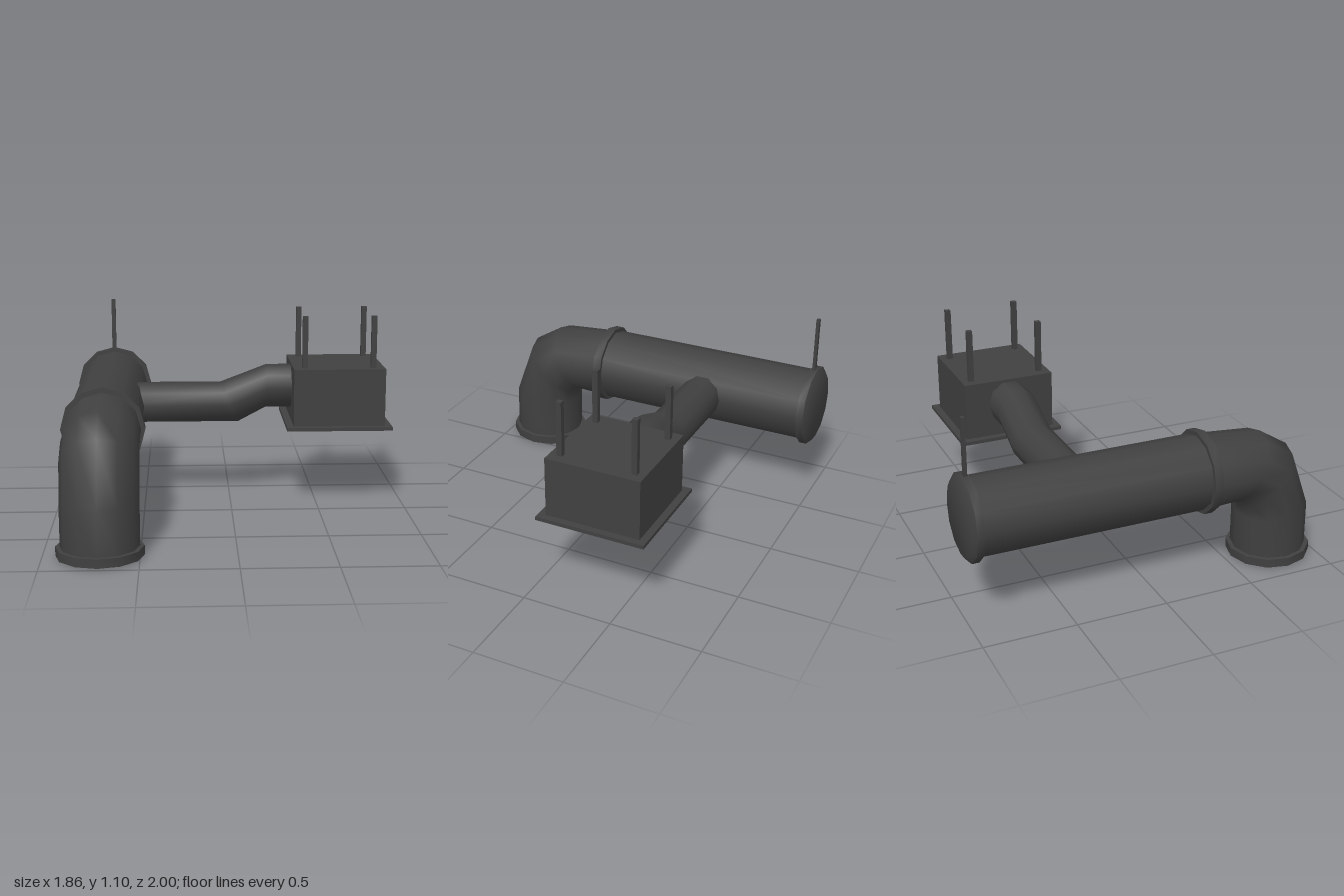
import * as THREE from 'three';
import { toCreasedNormals } from 'three/addons/utils/BufferGeometryUtils.js';

const material = new THREE.MeshStandardMaterial({ color: 0x404040, side: THREE.DoubleSide });
const DUCT_X = -0.705, DUCT_Y = 0.565, R = 0.205, RIM = 0.228;

export function createModel() {
  const model = new THREE.Group();

  const add = (name, geometry, x = 0, y = 0, z = 0, rotX = 0) => {
    const mesh = new THREE.Mesh(geometry, material);
    mesh.name = name;
    mesh.position.set(x, y, z);
    mesh.rotation.x = rotX;
    model.add(mesh);
    return mesh;
  };

  // Tube skin through rings given by opposite top and bottom points in one plane
  const loft = (rings, side, sides, radius, start, stretch) => {
    const pos = [], index = [];
    rings.forEach(([top, bottom], i) => {
      const a = new THREE.Vector3(...top), b = new THREE.Vector3(...bottom);
      const centre = a.clone().add(b).multiplyScalar(0.5);
      const up = a.sub(b).multiplyScalar(0.5 * stretch);
      for (let j = 0; j < sides; j++) {
        const t = start + (j / sides) * Math.PI * 2;
        const p = centre.clone().addScaledVector(up, Math.cos(t)).addScaledVector(side, radius * Math.sin(t));
        pos.push(p.x, p.y, p.z);
        if (i === 0) continue;
        const k = (j + 1) % sides, lo = (i - 1) * sides, hi = i * sides;
        index.push(lo + j, lo + k, hi + j, lo + k, hi + k, hi + j);
      }
    });
    const g = new THREE.BufferGeometry();
    g.setAttribute('position', new THREE.Float32BufferAttribute(pos, 3));
    g.setIndex(index);
    g.computeVertexNormals();
    return g;
  };

  // Twelve-sided turned part with crisp edges
  const turned = (points) => toCreasedNormals(
    new THREE.LatheGeometry(points.map(([r, y]) => new THREE.Vector2(r, y)), 12), 0.6);
  const collar = () => turned([[R - 0.01, -0.024], [RIM, -0.024], [RIM, 0.024], [R - 0.01, 0.024], [R - 0.01, -0.024]]);

  // Main duct with its end cap and joint collar
  add('mainDuct', new THREE.CylinderGeometry(R, R, 1.28, 12, 1, true), DUCT_X, DUCT_Y, -0.32, Math.PI / 2);
  add('endCap', turned([[0.19, 0.94], [RIM, 0.94], [RIM, 0.98], [0.195, 1], [0, 1]]), DUCT_X, DUCT_Y, 0, -Math.PI / 2);
  add('jointCollar', collar(), DUCT_X, DUCT_Y, 0.325, Math.PI / 2);

  // Elbow turning down to an open mouth
  const elbow = [
    [0.31, 0.768, 0.31, 0.36], [0.68, 0.735, 0.5, 0.372], [0.85, 0.63, 0.565, 0.335],
    [0.97, 0.3, 0.565, 0.27], [0.975, 0.02, 0.567, 0.01],
  ].map(([z1, y1, z2, y2]) => [[DUCT_X, y1, z1], [DUCT_X, y2, z2]]);
  add('elbow', loft(elbow, new THREE.Vector3(-1, 0, 0), 12, R, 0, 1));
  add('mouthCollar', collar(), DUCT_X, 0.03, 0.772, -0.02);

  // Branch duct stepping up into the diffuser box
  const branch = [
    [-0.62, 0.68, -0.62, 0.455], [-0.05, 0.68, 0.05, 0.455],
    [0.22, 0.783, 0.21, 0.54], [0.38, 0.783, 0.38, 0.54],
  ].map(([x1, y1, x2, y2]) => [[x1, y1, -0.345], [x2, y2, -0.345]]);
  add('branchDuct', loft(branch, new THREE.Vector3(0, 0, 1), 10, 0.122, Math.PI / 2, 1 / Math.sin(Math.PI * 0.4)));

  // Diffuser box
  const bx = 0.623, bz = -0.343;
  add('diffuserBox', new THREE.BoxGeometry(0.526, 0.332, 0.526), bx, 0.634, bz);

  // Square frames of the ceiling grille
  const frame = (outer, inner, depth) => {
    const square = (s, Type) => new Type([[-s, -s], [s, -s], [s, s], [-s, s]].map(([x, y]) => new THREE.Vector2(x, y)));
    const shape = square(outer, THREE.Shape);
    shape.holes.push(square(inner, THREE.Path));
    return new THREE.ExtrudeGeometry(shape, { depth, bevelEnabled: false });
  };
  add('grillePlate', frame(0.303, 0.195, 0.02), bx, 0.47, bz, Math.PI / 2);
  for (const [outer, inner] of [[0.16, 0.125], [0.095, 0.07]]) {
    add('grilleLouvre', frame(outer, inner, 0.016), bx, 0.47, bz, Math.PI / 2);
  }
  add('grilleCentre', new THREE.BoxGeometry(0.09, 0.016, 0.09), bx, 0.462, bz);

  // Hanger rods
  for (const sx of [-1, 1]) for (const sz of [-1, 1]) {
    add('boxHanger', new THREE.BoxGeometry(0.03, 0.32, 0.03), bx + sx * 0.197, 0.94, bz + sz * 0.206);
  }
  add('ductHanger', new THREE.BoxGeometry(0.025, 0.34, 0.018), DUCT_X, 0.93, -0.96);

  return model;
}
